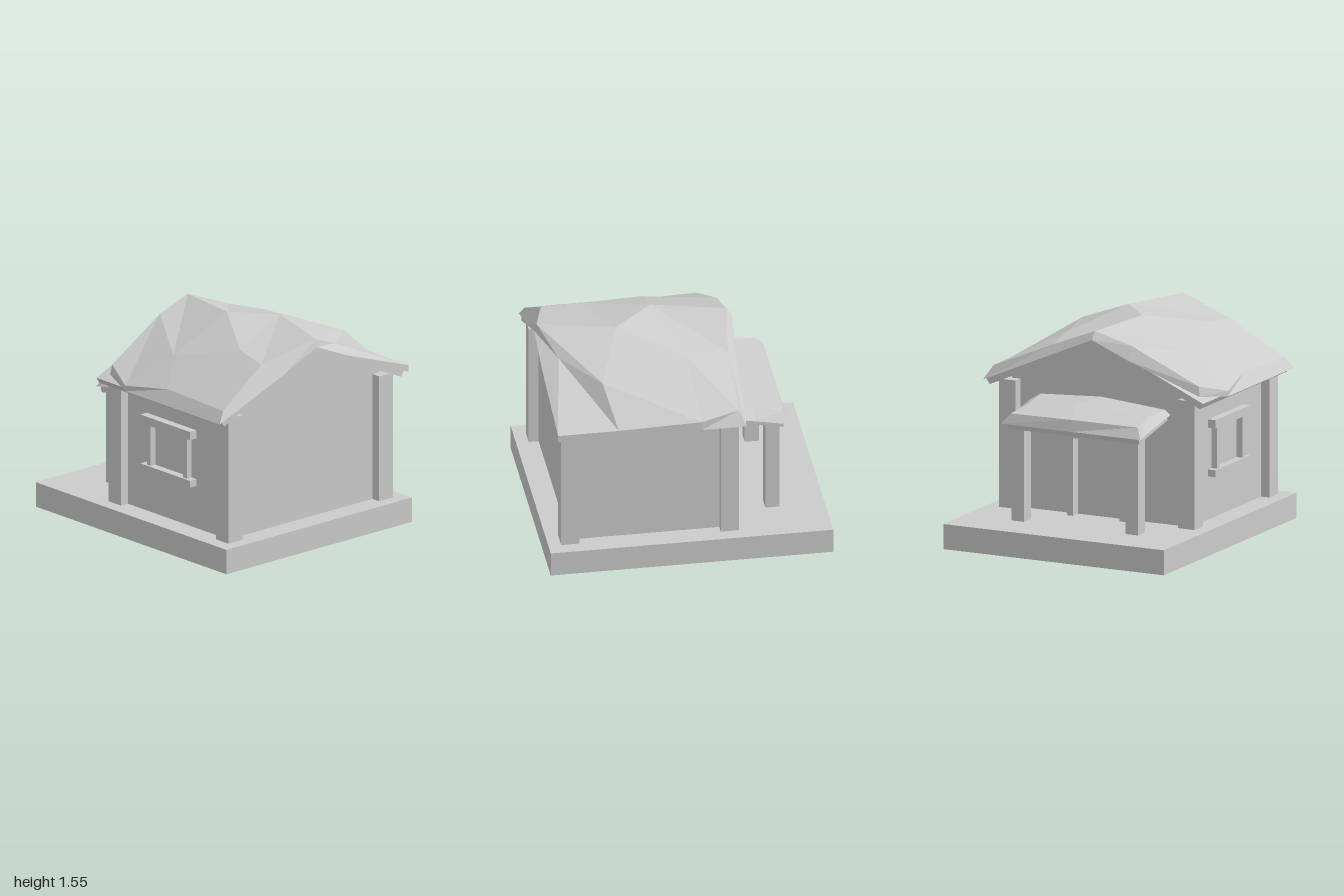
import * as THREE from 'three';

const mat = new THREE.MeshStandardMaterial({ color: 0xcccccc, flatShading: true, side: THREE.DoubleSide });

export function createModel() {
  const root = new THREE.Group();
  root.name = 'hut';

  const add = (name, geo) => {
    const m = new THREE.Mesh(geo, mat);
    m.name = name;
    root.add(m);
    return m;
  };

  // box given by its min and max on each axis
  const box = (name, x0, x1, y0, y1, z0, z1) => {
    const g = new THREE.BoxGeometry(x1 - x0, y1 - y0, z1 - z0);
    g.translate((x0 + x1) / 2, (y0 + y1) / 2, (z0 + z1) / 2);
    return add(name, g);
  };

  // outline in the xy plane pulled from z0 to z1
  const prism = (outline, z0, z1) => {
    const shape = new THREE.Shape(outline.map(([x, y]) => new THREE.Vector2(x, y)));
    const g = new THREE.ExtrudeGeometry(shape, { depth: z1 - z0, bevelEnabled: false });
    return g.translate(0, 0, z0);
  };

  // closed faceted slab between two equal grids (rows front to back, columns -x to +x)
  const facetedSlab = (top, bottom) => {
    const pos = [];
    const quad = (a, b, c, d) => pos.push(...a, ...b, ...c, ...a, ...c, ...d);
    const R = top.length - 1, C = top[0].length - 1;
    for (let i = 0; i < R; i++) {
      for (let j = 0; j < C; j++) {
        quad(top[i][j], top[i][j + 1], top[i + 1][j + 1], top[i + 1][j]);
        quad(bottom[i][j], bottom[i + 1][j], bottom[i + 1][j + 1], bottom[i][j + 1]);
      }
    }
    const ring = [];
    for (let j = 0; j < C; j++) ring.push([0, j]);
    for (let i = 0; i < R; i++) ring.push([i, C]);
    for (let j = C; j > 0; j--) ring.push([R, j]);
    for (let i = R; i > 0; i--) ring.push([i, 0]);
    ring.forEach(([i, j], k) => {
      const [m, n] = ring[(k + 1) % ring.length];
      quad(bottom[i][j], bottom[m][n], top[m][n], top[i][j]);
    });
    const g = new THREE.BufferGeometry();
    g.setAttribute('position', new THREE.Float32BufferAttribute(pos, 3));
    g.computeVertexNormals();
    return g;
  };

  // base
  box('base', -0.87, 0.87, 0, 0.18, -1, 1);

  // gabled walls, recessed to the middle of the corner posts
  add('walls', prism([[-0.705, 0.18], [0.705, 0.18], [0.705, 1.125], [0, 1.44], [-0.705, 1.125]], -0.28, 0.84));

  // corner posts and porch posts
  for (const s of [-1, 1]) {
    const px = s * 0.705, qx = s * 0.45;
    box('frontPost', px - 0.065, px + 0.065, 0.18, 1.1, 0.78, 0.91);
    box('backPost', px - 0.065, px + 0.065, 0.18, 1.1, -0.35, -0.22);
    box('porchPost', qx - 0.05, qx + 0.05, 0.18, 0.875, -0.68, -0.58);
  }

  // roof boards under the thatch
  add('roofBoards', prism([
    [0, 1.43], [0.83, 1.06], [0.855, 1.1], [0, 1.477], [-0.855, 1.1], [-0.83, 1.06],
  ], -0.38, 0.93));

  // uneven thatch on the main roof
  const thatchTop = [
    [[-0.82, 1.17, 0.91], [-0.42, 1.41, 0.86], [0, 1.53, 0.96], [0.28, 1.41, 0.85], [0.88, 1.14, 0.95]],
    [[-0.81, 1.18, 0.32], [-0.38, 1.44, 0.6], [0.15, 1.545, 0.42], [0.6, 1.37, 0.59], [0.88, 1.14, 0.52]],
    [[-0.88, 1.13, -0.05], [-0.58, 1.33, 0.12], [-0.1, 1.55, 0.14], [0.4, 1.415, -0.03], [0.88, 1.155, -0.07]],
    [[-0.78, 1.2, -0.3], [-0.28, 1.45, -0.36], [0, 1.53, -0.38], [0.35, 1.39, -0.34], [0.82, 1.19, -0.34]],
  ];
  const eave = (x, z) => [x, 1.475 - 0.438 * Math.abs(x), z];
  const thatchBottom = [
    [[-0.88, 0.94], [-0.3, 0.975], [0, 0.975], [0.3, 0.97], [0.88, 0.95]],
    [[-0.88, 0.31], [-0.4, 0.5], [0, 0.5], [0.4, 0.5], [0.88, 0.52]],
    [[-0.88, -0.05], [-0.4, 0], [0, 0], [0.4, 0], [0.88, -0.07]],
    [[-0.79, -0.31], [-0.28, -0.41], [0, -0.425], [0.35, -0.4], [0.88, -0.385]],
  ].map((row) => row.map(([x, z]) => eave(x, z)));
  add('thatch', facetedSlab(thatchTop, thatchBottom));

  // porch roof boards
  add('porchBoards', prism([
    [-0.28, 0.925], [-0.7, 0.84], [-0.715, 0.883], [-0.28, 0.97],
  ], -0.52, 0.52).rotateY(-Math.PI / 2));

  // porch thatch
  const porchTop = [
    [[-0.5, 1.0, -0.28], [0, 1.04, -0.28], [0.48, 1.01, -0.28]],
    [[-0.485, 0.99, -0.5], [0.115, 1.01, -0.46], [0.465, 0.985, -0.5]],
    [[-0.5, 0.955, -0.685], [0, 0.962, -0.715], [0.49, 0.955, -0.71]],
  ];
  const porchBottom = [[-0.28, 0.967], [-0.5, 0.925], [-0.735, 0.88]]
    .map(([z, y]) => [-0.545, 0, 0.555].map((x) => [x, y, z]));
  add('porchThatch', facetedSlab(porchTop, porchBottom));

  // door frame on the back wall
  for (const s of [-1, 1]) box('doorJamb', s * 0.207 - 0.023, s * 0.207 + 0.023, 0.18, 0.75, -0.357, -0.27);
  box('doorLintel', -0.28, 0.28, 0.745, 0.815, -0.385, -0.27);

  // window frame on one side wall
  box('windowSill', -0.765, -0.69, 0.49, 0.54, -0.02, 0.5);
  box('windowLintel', -0.765, -0.69, 0.84, 0.9, -0.02, 0.5);
  for (const z of [0.03, 0.41]) box('windowJamb', -0.75, -0.69, 0.53, 0.85, z, z + 0.04);

  return root;
}
